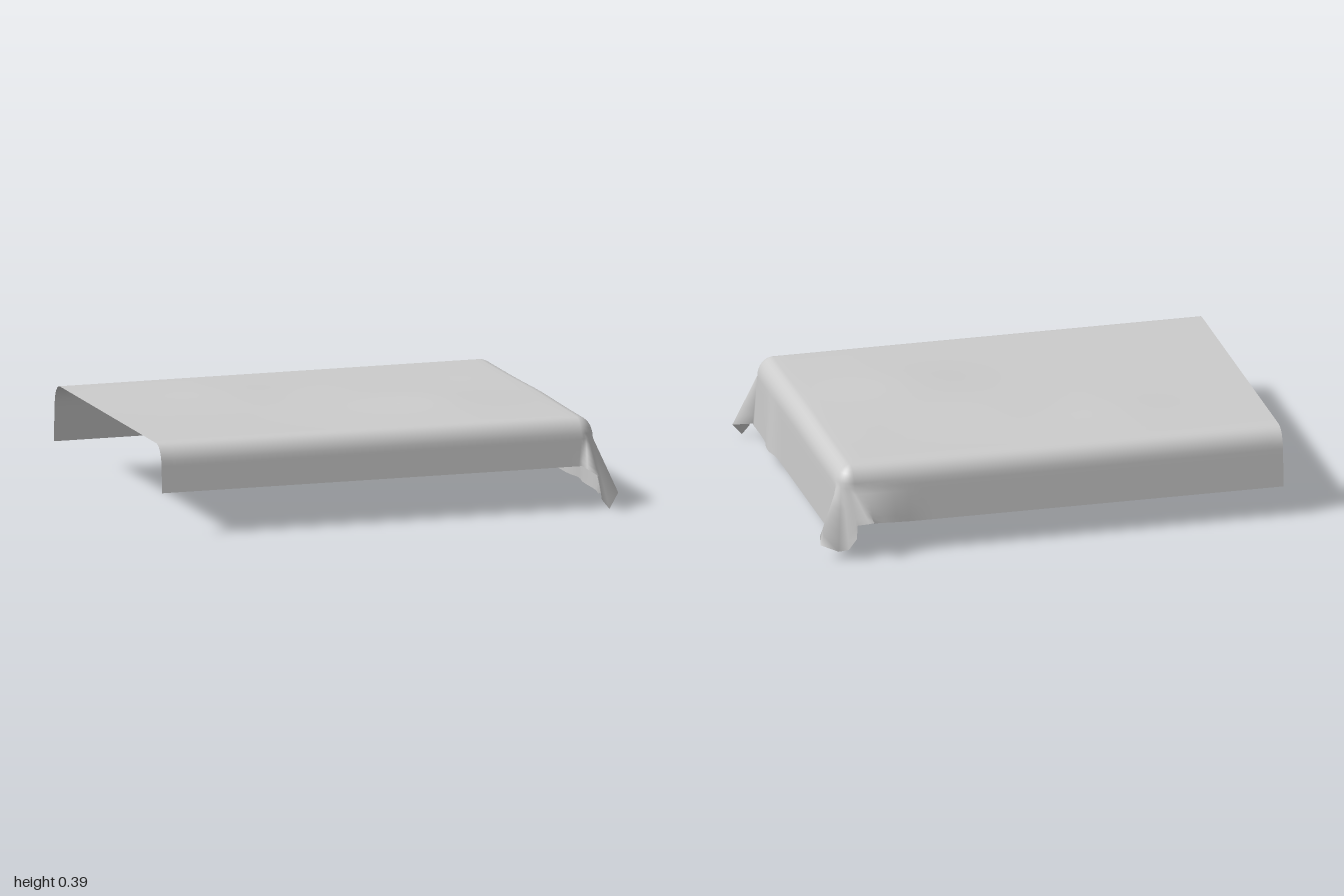
import * as THREE from 'three';
import { mergeVertices } from 'three/addons/utils/BufferGeometryUtils.js';

const NX = 32, NZ = 24, ROWS = 12;
const X0 = -1, X1 = 0.835, Z0 = -0.645, Z1 = 0.625;

// gently rumpled top surface
const bump = (x, z, cx, cz, w, h) => h * Math.exp(-((x - cx) ** 2 + ((z - cz) * 1.4) ** 2) / (w * w));
const topY = (x, z) => 0.377
  + bump(x, z, 0.4, 0.18, 0.3, 0.018) + bump(x, z, -0.4, -0.3, 0.25, 0.009)
  + bump(x, z, 0.1, -0.2, 0.2, 0.006) + bump(x, z, 0.8, 0, 0.3, 0.004);

// hem points of the gathered cloth at the two corners, in order round the edge
const backCorner = [
  [0.79, 0.16, -0.79], [0.83, 0.14, -0.745], [0.84, 0.09, -0.77], [0.87, 0.04, -0.755],
  [0.91, 0.03, -0.74], [0.99, 0.07, -0.75], [0.98, 0.09, -0.70], [0.92, 0.07, -0.68],
];
const frontCorner = [
  [0.91, 0.065, 0.66], [0.905, 0.06, 0.70], [0.99, 0.06, 0.71], [0.94, 0, 0.745],
  [0.91, 0.04, 0.735], [0.88, 0.15, 0.783], [0.85, 0.17, 0.725], [0.835, 0.18, 0.705],
];

// stations round the edge: where the cloth leaves the top, its heading, and its hem
function makeStations() {
  const list = [];
  const add = (x, z, angle, hem) => list.push({ x, z, angle, hem });
  const corner = (x, z, from, points) => points.forEach((hem, i) =>
    add(x, z, from + (i + 1) / (points.length + 1) * Math.PI / 2, hem));
  const xs = (i) => X0 + (X1 - X0) * i / NX;
  const zs = (i) => Z0 + (Z1 - Z0) * i / NZ;

  for (let i = 0; i <= NX; i++) {
    const x = xs(i), flare = THREE.MathUtils.smoothstep(x, 0.55, 0.88);
    add(x, Z0, -Math.PI / 2, [Math.min(x, 0.77), 0.13 + 0.035 * flare, -0.725 - 0.07 * flare]);
  }
  corner(X1, Z0, -Math.PI / 2, backCorner);
  for (let i = 0; i <= NZ; i++) {
    const z = zs(i);
    add(X1, z, 0, [0.91 + 0.018 * Math.exp(-(((z - 0.38) / 0.06) ** 2)), 0.066, z]);
  }
  corner(X1, Z1, 0, frontCorner);
  for (let i = NX; i >= 0; i--) add(xs(i), Z1, Math.PI / 2, [Math.min(xs(i), 0.82), 0.18, 0.703]);
  return list;
}

// a point on a station: rounded shoulder first, then the fall to the hem
function drape({ x, z, angle, hem }, j) {
  const shoulderRows = 6, r = 0.068, drop = 0.085;
  const t = Math.min(j / shoulderRows, 1) * Math.PI / 2;
  const out = r * Math.sin(t);
  const p = new THREE.Vector3(
    x + out * Math.cos(angle),
    topY(x, z) - drop * (1 - Math.cos(t)),
    z + out * Math.sin(angle));
  if (j > shoulderRows) p.lerp(new THREE.Vector3(...hem), (j - shoulderRows) / (ROWS - shoulderRows));
  return p;
}

function makeCloth() {
  const positions = [], index = [];
  const addGrid = (m, n, point) => {
    const base = positions.length / 3;
    for (let i = 0; i <= m; i++) for (let j = 0; j <= n; j++) positions.push(...point(i, j).toArray());
    for (let i = 0; i < m; i++) for (let j = 0; j < n; j++) {
      const a = base + i * (n + 1) + j, b = a + n + 1;
      index.push(a, b, a + 1, b, b + 1, a + 1);
    }
  };
  // top: first direction is z, second is x
  addGrid(NZ, NX, (i, j) => {
    const x = X0 + (X1 - X0) * j / NX, z = Z0 + (Z1 - Z0) * i / NZ;
    return new THREE.Vector3(x, topY(x, z), z);
  });
  // hanging sides and gathered corners
  const stations = makeStations();
  addGrid(stations.length - 1, ROWS, (i, j) => drape(stations[i], j));

  const geometry = new THREE.BufferGeometry();
  geometry.setAttribute('position', new THREE.Float32BufferAttribute(positions, 3));
  geometry.setIndex(index);
  const merged = mergeVertices(geometry, 1e-5);
  merged.computeVertexNormals();
  return merged;
}

export function createModel() {
  const group = new THREE.Group();
  group.name = 'drapedBedCover';
  const fabric = new THREE.MeshStandardMaterial({ color: 0xcccccc, side: THREE.DoubleSide });
  fabric.name = 'light grey fabric';
  const cover = new THREE.Mesh(makeCloth(), fabric);
  cover.name = 'cover';
  group.add(cover);
  return group;
}
